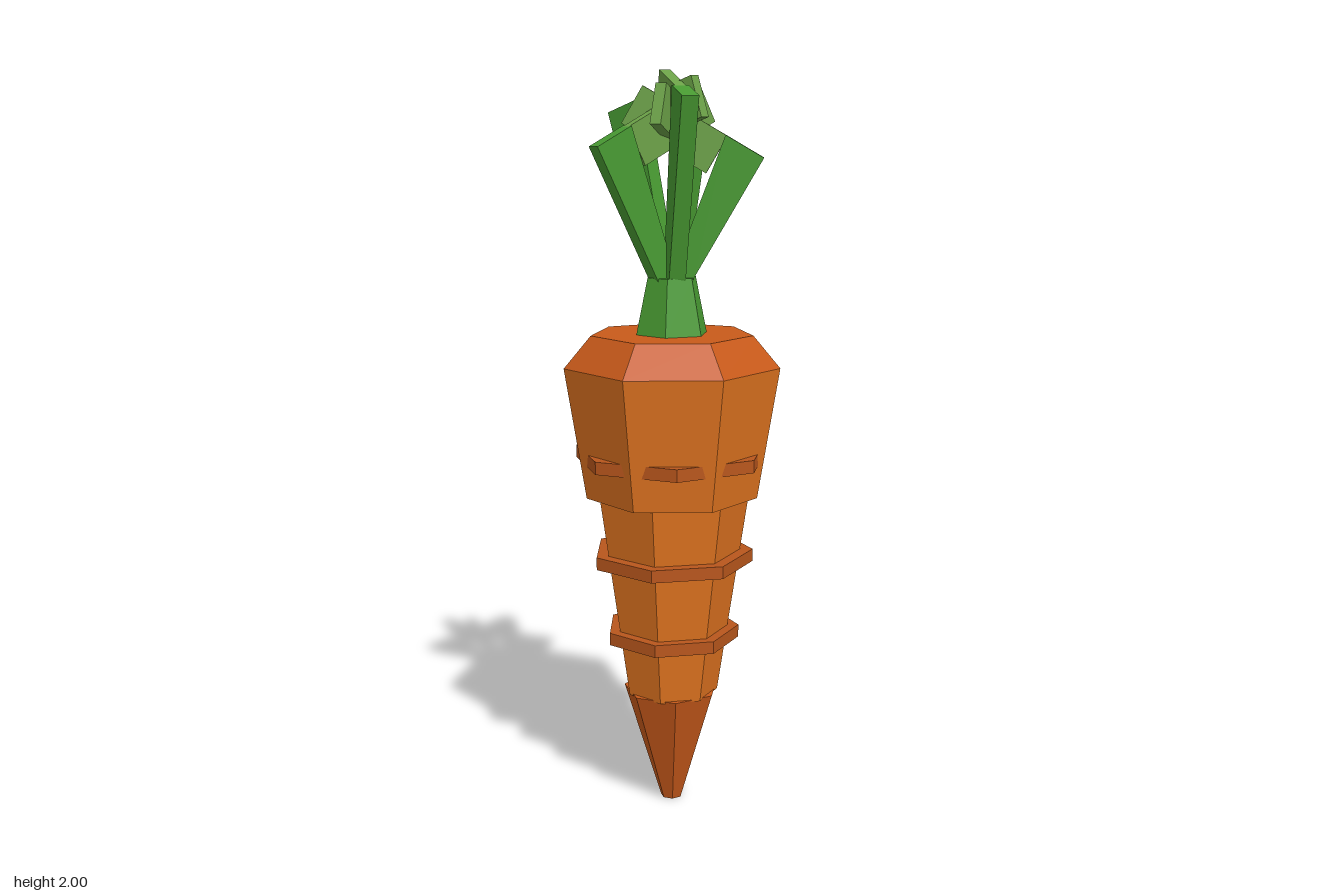
import * as THREE from 'three';

const DEG = Math.PI / 180;
const paint = (color) => new THREE.MeshStandardMaterial({ color, flatShading: true });
const orange = paint(0xe07420);
const rust = paint(0xc85a1a);
const groove = paint(0xb8561c);
const green = paint(0x489a32);
const paleGreen = paint(0x6ca248);

// Tapered faceted section standing between two heights
function section(name, y0, r0, y1, r1, turn, material, sides = 7) {
  const geometry = new THREE.CylinderGeometry(r1, r0, y1 - y0, sides, 1, false, turn * DEG);
  const mesh = new THREE.Mesh(geometry, material);
  mesh.position.y = (y0 + y1) / 2;
  mesh.name = name;
  return mesh;
}

// Flat slab from a profile of [radius, height] points, centred on its thickness
function slab(name, points, thickness, material) {
  const shape = new THREE.Shape(points.map(([x, y]) => new THREE.Vector2(x, y)));
  const geometry = new THREE.ExtrudeGeometry(shape, { depth: thickness, bevelEnabled: false });
  geometry.translate(0, 0, -thickness / 2);
  const mesh = new THREE.Mesh(geometry, material);
  mesh.name = name;
  return mesh;
}

// Leaf: a stalk leaning outwards and a pale cross arm at its top, square to the lean
function leaf(angle, tipRadius, tipHeight) {
  const group = new THREE.Group();
  group.name = 'leaf';
  const slope = (tipRadius - 0.06) / (tipHeight - 1.47);
  const lean = Math.atan(slope);
  const onTop = (r) => [r, tipHeight + (tipRadius - r) * slope];
  const cap = tipRadius - 0.1;
  group.add(slab('stalk', [
    [0.035, 1.4], [0.06, 1.47], [tipRadius, tipHeight], onTop(cap), [0, 1.47], [-0.02, 1.4],
  ], 0.045, green));

  const depth = 0.11;
  const below = ([r, y]) => [r - depth * Math.sin(lean), y - depth * Math.cos(lean)];
  const start = onTop(cap + 0.005);
  const end = onTop(-0.075);
  group.add(slab('crossArm', [start, end, below(end), below(start)], 0.03, paleGreen));
  group.rotation.y = angle * DEG;
  return group;
}

export function createModel() {
  const model = new THREE.Group();
  model.name = 'carrot';

  // Root, from the tip to the shoulder
  model.add(
    section('tip', 0, 0.03, 0.325, 0.133, -7, rust),
    section('middleRoot', 0.32, 0.127, 0.9, 0.213, 25.7, orange),
    section('upperRoot', 0.88, 0.235, 1.235, 0.293, 14.6, orange),
    section('shoulder', 1.235, 0.293, 1.32, 0.22, 14.6, rust),
  );

  // Raised rings around the root
  for (const [y, r, turn] of [[0.49, 0.185, 25.7], [0.708, 0.222, 25.7], [0.99, 0.265, -9]]) {
    model.add(section('ring', y - 0.017, r, y + 0.017, r, turn, groove));
  }

  // Stem and leaves
  model.add(section('stem', 1.32, 0.1, 1.47, 0.068, 30, green, 6));
  const leaves = [
    [36, 0.24, 1.78], [108, 0.212, 1.855], [180, 0.202, 1.895], [252, 0.235, 1.81], [324, 0.185, 1.935],
  ];
  for (const [angle, radius, height] of leaves) model.add(leaf(angle, radius, height));

  for (const part of model.children) part.position.x = 0.012;
  return model;
}
